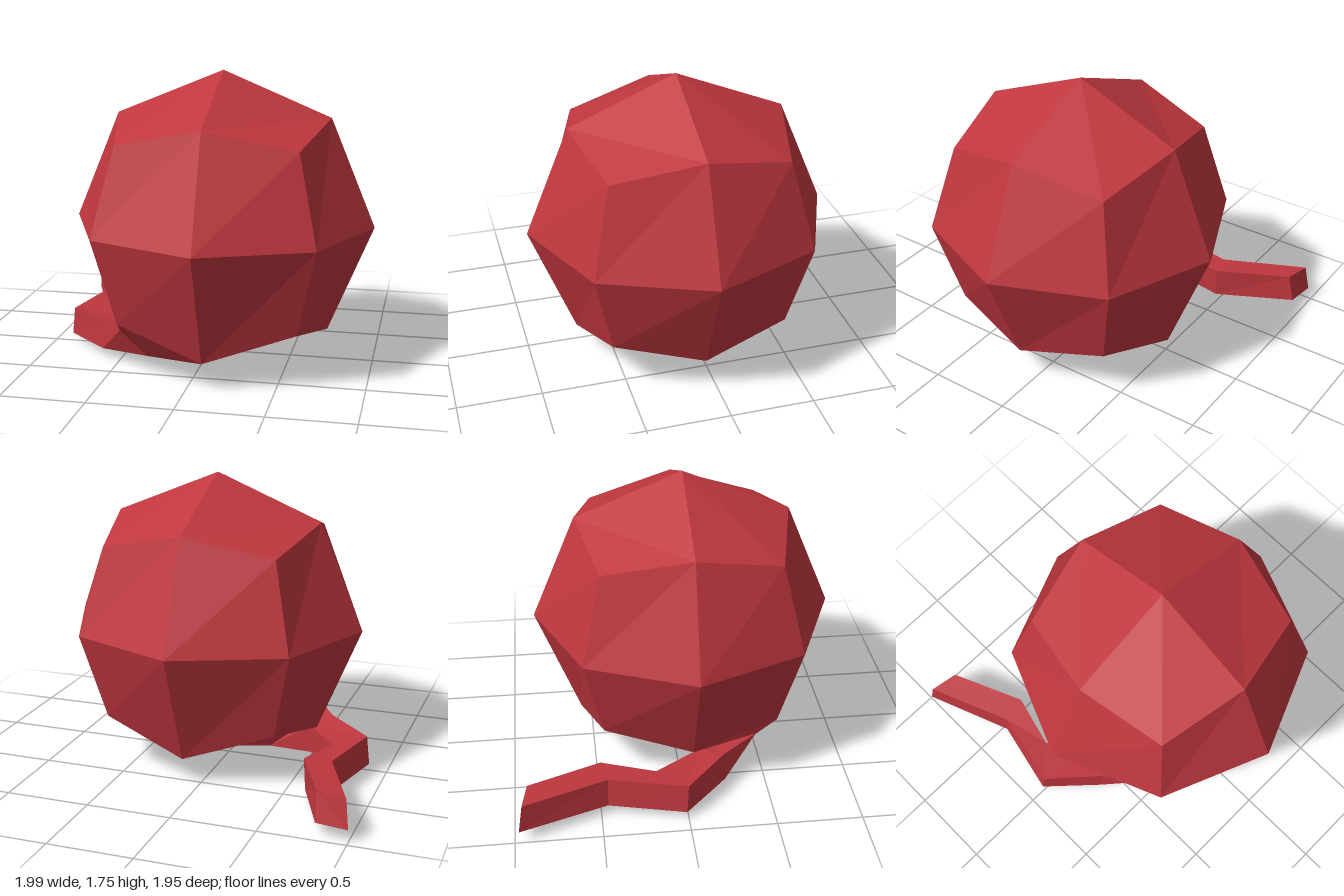
import * as THREE from 'three';

const red = new THREE.MeshStandardMaterial({ color: 0xc0373f, flatShading: true });
red.name = 'woolRed';

const RADIUS = 0.902;
const CENTER = new THREE.Vector3(0.092, 0.85, 0.07);

// Ball: a 2x2x2 cube projected onto a sphere, slightly flattened below
function makeBall() {
  const box = new THREE.BoxGeometry(2, 2, 2, 2, 2, 2);
  const pos = box.attributes.position;
  const v = new THREE.Vector3();
  for (let i = 0; i < pos.count; i++) {
    v.fromBufferAttribute(pos, i).setLength(RADIUS);
    if (v.y < -0.1 && Math.abs(v.x) < 0.01) {
      if (Math.abs(v.z) < 0.01) v.y += 0.057; // flattened bottom
      else if (v.y > -0.8) v.y -= 0.045;
    }
    v.add(CENTER);
    pos.setXYZ(i, v.x, v.y, v.z);
  }
  // Open the underside quad (front, -x) where the strand leaves the ball
  const index = Array.from(box.index.array);
  index.splice(72, 6);
  box.setIndex(index);
  box.clearGroups();
  const geo = box.toNonIndexed();
  geo.computeVertexNormals();
  return geo;
}

// Strand: square rings joined in a chain; corners run
// outer top, outer bottom, inner bottom, inner top
function makeStrand() {
  const e = RADIUS / Math.SQRT2, c = RADIUS / Math.sqrt(3);
  const { x, y, z } = CENTER;
  const rings = [
    [[x - c, y - c, z + c], [x, y - e - 0.045, z + e], [x, 0.005, z], [x - e, y - e, z]],
    [[-0.45, 0.25, 0.46], [-0.28, 0.11, 0.48], [-0.22, 0.01, 0.16], [-0.41, 0.17, 0.14]],
    [[-0.6, 0.23, 0.25], [-0.62, 0.055, 0.25], [-0.5, 0.025, 0.11], [-0.5, 0.2, 0.11]],
    [[-0.875, 0.22, 0], [-0.895, 0.05, -0.01], [-0.72, 0.02, -0.155], [-0.7, 0.21, -0.17]],
    [[-0.775, 0.23, -0.455], [-0.795, 0.06, -0.46], [-0.63, 0.05, -0.49], [-0.62, 0.24, -0.49]],
    [[-0.98, 0.245, -0.95], [-1, 0.08, -0.975], [-0.815, 0.085, -0.955], [-0.81, 0.255, -0.918]],
  ];
  const out = [];
  const quad = (p, q, r, s) => out.push(...p, ...q, ...r, ...p, ...r, ...s);
  for (let k = 0; k < rings.length - 1; k++) {
    const a = rings[k], b = rings[k + 1];
    for (let i = 0; i < 4; i++) {
      const j = (i + 1) % 4;
      quad(a[i], b[i], b[j], a[j]);
    }
  }
  // Cut end
  const t = rings[rings.length - 1];
  quad(t[3], t[2], t[1], t[0]);
  const geo = new THREE.BufferGeometry();
  geo.setAttribute('position', new THREE.Float32BufferAttribute(out, 3));
  geo.computeVertexNormals();
  return geo;
}

export function createModel() {
  const group = new THREE.Group();
  group.name = 'yarnBall';
  const ball = new THREE.Mesh(makeBall(), red);
  ball.name = 'ball';
  const strand = new THREE.Mesh(makeStrand(), red);
  strand.name = 'looseStrand';
  group.add(ball, strand);
  return group;
}
